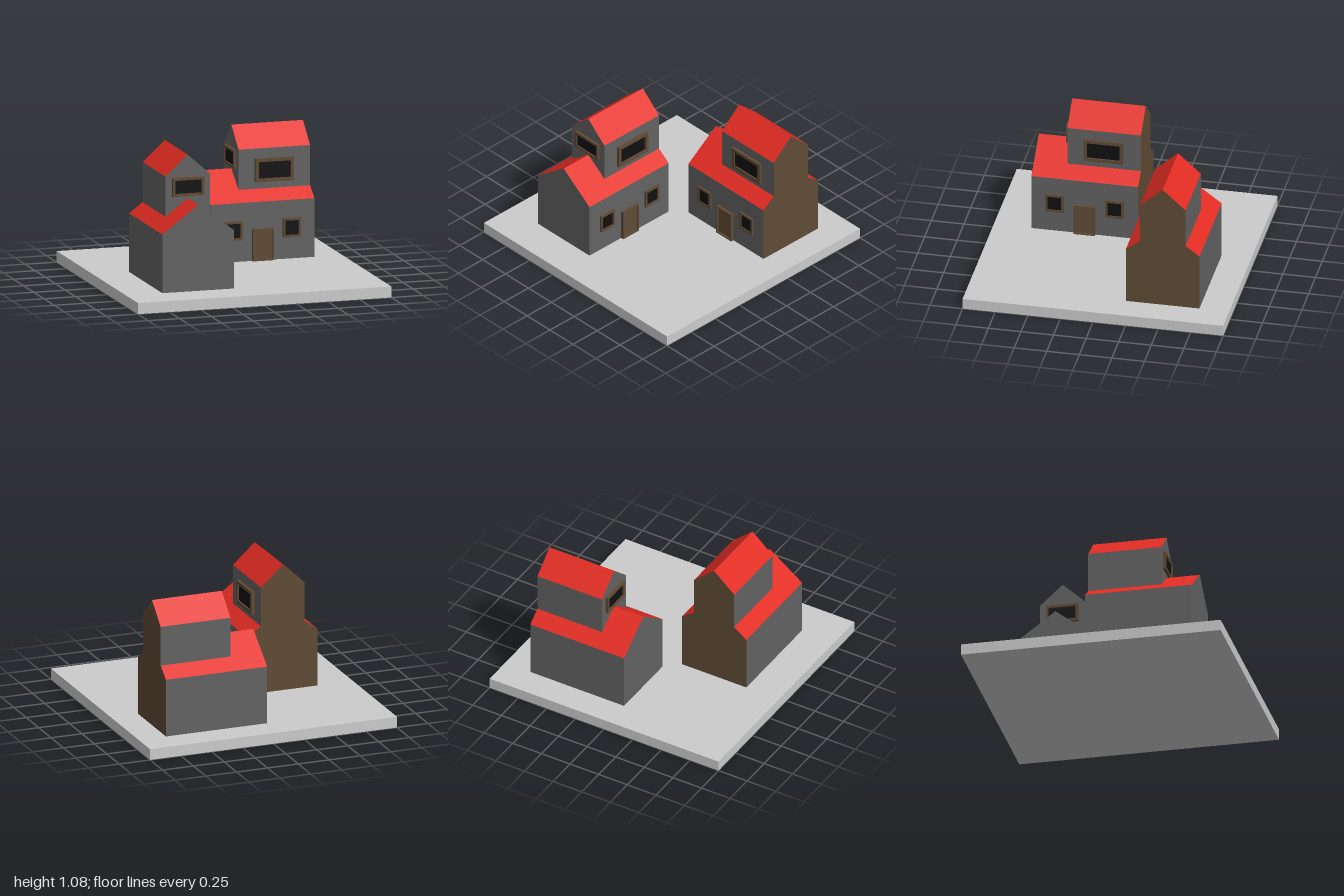
import * as THREE from 'three';

const material = (color, side = THREE.FrontSide) =>
  new THREE.MeshStandardMaterial({ color, side, flatShading: true });
const STONE = material(0xcccccc);
const WALL = material(0x636363, THREE.DoubleSide);
const ROOF = material(0xe22c23, THREE.DoubleSide);
const WOOD = material(0x604b35, THREE.DoubleSide);
const GLASS = material(0x101010);

const BASE = 0.085; // top of the ground slab
const END = 0.41; // half length of a house

function add(parent, name, geometry, mat) {
  const mesh = new THREE.Mesh(geometry, mat);
  mesh.name = name;
  parent.add(mesh);
  return mesh;
}

// Flat panel spanning x0..x1 between two [z, y] points
function panel(x0, x1, [za, ya], [zb, yb]) {
  const geometry = new THREE.BufferGeometry();
  geometry.setAttribute('position', new THREE.Float32BufferAttribute(
    [x0, ya, za, x1, ya, za, x1, yb, zb, x0, yb, zb], 3));
  geometry.setIndex([0, 1, 2, 0, 2, 3]);
  geometry.computeVertexNormals();
  return geometry;
}

// Symmetric end wall from its front half outline, given as [z, y] points
function gable(parent, name, x, half, mat) {
  const mirrored = half.filter(([z]) => z > 0).reverse().map(([z, y]) => [-z, y]);
  const shape = new THREE.Shape([...half, ...mirrored].map(([z, y]) => new THREE.Vector2(z, y)));
  const mesh = add(parent, name, new THREE.ShapeGeometry(shape), mat);
  mesh.position.x = x;
  mesh.rotation.y = x > 0 ? Math.PI / 2 : -Math.PI / 2;
}

// One storey: two long walls, two roof slopes and the open-end gable
function storey(parent, name, x0, half) {
  const [foot, eave, ridge] = half;
  const flip = ([z, y]) => [-z, y];
  add(parent, name + 'FrontWall', panel(x0, END, foot, eave), WALL);
  add(parent, name + 'FrontRoof', panel(x0, END, eave, ridge), ROOF);
  add(parent, name + 'BackRoof', panel(x0, END, ridge, flip(eave)), ROOF);
  add(parent, name + 'BackWall', panel(x0, END, flip(eave), flip(foot)), WALL);
  gable(parent, name + 'Gable', x0, half, WALL);
}

function rectangle(Type, w, h) {
  return new Type([[-w, -h], [w, -h], [w, h], [-w, h]]
    .map(([x, y]) => new THREE.Vector2(x / 2, y / 2)));
}

// Frame with a recessed pane, lying on a wall and facing local +z
function opening(parent, name, w, h, depth, border, fill) {
  const group = new THREE.Group();
  group.name = name;
  const outline = rectangle(THREE.Shape, w, h);
  outline.holes.push(rectangle(THREE.Path, w - 2 * border, h - 2 * border));
  add(group, name + 'Frame',
    new THREE.ExtrudeGeometry(outline, { depth, bevelEnabled: false }), WOOD);
  const pane = add(group, name + 'Pane',
    new THREE.BoxGeometry(w - 2 * border, h - 2 * border, depth * 0.5), fill);
  pane.position.z = depth * 0.25;
  parent.add(group);
  return group;
}

function house(name) {
  const group = new THREE.Group();
  group.name = name;
  const lower = [[0.282, BASE], [0.282, 0.535], [0, 0.745]];
  const upper = [[0.176, 0.614], [0.176, 0.922], [0, 1.08]];
  storey(group, 'lower', -END, lower);
  storey(group, 'upper', -0.155, upper);
  // Timber end wall covering both storeys
  gable(group, 'timberEndWall', END, [lower[0], lower[1], ...upper], WOOD);

  // Ground floor openings
  for (const x of [-0.23, 0.23]) {
    opening(group, 'smallWindow', 0.14, 0.145, 0.016, 0.017, GLASS).position.set(x, 0.324, 0.282);
  }
  opening(group, 'door', 0.164, 0.245, 0.024, 0.011, WOOD).position.set(0, BASE + 0.1225, 0.282);

  // Upper floor openings
  opening(group, 'wideWindow', 0.304, 0.18, 0.024, 0.026, GLASS).position.set(0.125, 0.756, 0.176);
  const side = opening(group, 'gableWindow', 0.25, 0.142, 0.022, 0.02, GLASS);
  side.position.set(-0.155, 0.837, 0);
  side.rotation.y = -Math.PI / 2;
  return group;
}

export function createModel() {
  const model = new THREE.Group();
  model.name = 'twoHouses';
  add(model, 'groundSlab', new THREE.BoxGeometry(2, BASE, 2), STONE).position.y = BASE / 2;

  const backHouse = house('backHouse');
  backHouse.position.set(0.37, 0, -0.49);
  const sideHouse = house('sideHouse');
  sideHouse.position.set(-0.432, 0, 0.302);
  sideHouse.rotation.y = Math.PI / 2;
  model.add(backHouse, sideHouse);
  return model;
}
